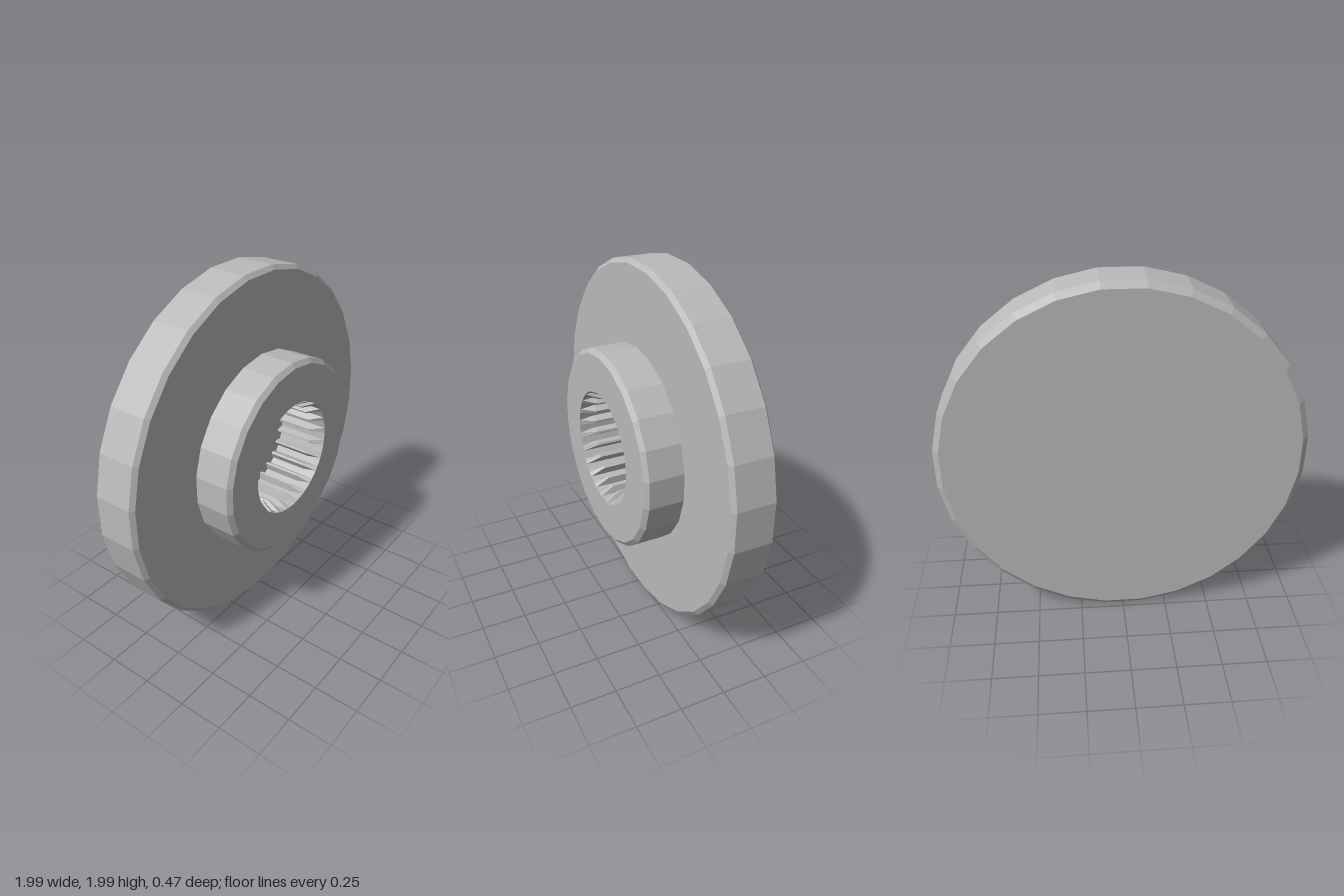
import * as THREE from 'three';

const FRONT = 0.235, STEP = 0.02, BACK = -0.235, FLOOR = -0.06;
const BORE = 0.32, TIP = 0.28, TEETH = 25;

export function createModel() {
  const group = new THREE.Group();
  const grey = new THREE.MeshStandardMaterial({ color: 0xbababa, flatShading: true });
  grey.name = 'plain grey';

  const add = (name, geometry) => {
    const flat = geometry.index ? geometry.toNonIndexed() : geometry;
    flat.computeVertexNormals();
    const mesh = new THREE.Mesh(flat, grey);
    mesh.name = name;
    mesh.position.y = 1;
    group.add(mesh);
  };

  // Profile of [radius, z] pairs turned about the z axis
  const turn = (profile, sides, start = 0) =>
    new THREE.LatheGeometry(profile.map(p => new THREE.Vector2(...p)), sides, start, Math.PI * 2);

  const circle = (r, sides, start = 0) => Array.from({ length: sides }, (_, i) => {
    const a = start + i / sides * Math.PI * 2;
    return new THREE.Vector2(r * Math.sin(a), -r * Math.cos(a));
  });

  // Flat ring facing forward
  const ring = (outer, inner, z) => {
    const shape = new THREE.Shape(outer);
    shape.holes.push(new THREE.Path(inner));
    return new THREE.ShapeGeometry(shape).translate(0, 0, z);
  };

  // Wide disc with bevelled rim
  const discSides = 28, discStart = Math.PI / discSides;
  add('disc', turn([[0, BACK], [0.97, BACK], [1.003, BACK + 0.025],
    [1.003, STEP - 0.02], [0.98, STEP]], discSides, discStart).rotateX(Math.PI / 2));
  add('discFace', ring(circle(0.98, discSides, discStart), circle(0.5, 22), STEP));

  // Raised hub with bevelled front edge
  add('hub', turn([[0.555, STEP], [0.555, FRONT - 0.022], [0.53, FRONT]], 22)
    .rotateX(Math.PI / 2));

  // Splined blind bore: four points per tooth, teeth rising from a round mouth
  const fractions = [0, 0.45, 0.64, 0.81];
  const pitch = Math.PI * 2 / TEETH;
  const angleAt = k => Math.PI + (Math.floor(k / 4) + fractions[k % 4] - 0.725) * pitch;
  const bore = turn([[BORE, FRONT], [BORE, FRONT - 0.08], [BORE, FLOOR], [0, FLOOR]], TEETH * 4);
  const pos = bore.attributes.position;
  for (let i = 0; i < pos.count; i++) {
    const column = Math.floor(i / 4), row = i % 4;
    const toothed = (row === 1 || row === 2) && column % 4 > 1;
    const r = row === 3 ? 0 : toothed ? TIP : BORE;
    const a = angleAt(column);
    pos.setXYZ(i, r * Math.sin(a), pos.getY(i), r * Math.cos(a));
  }
  add('splinedBore', bore.rotateX(Math.PI / 2));

  // Hub front face around the bore mouth
  const mouth = Array.from({ length: TEETH * 4 }, (_, k) =>
    new THREE.Vector2(BORE * Math.sin(angleAt(k)), -BORE * Math.cos(angleAt(k))));
  add('hubFace', ring(circle(0.53, 22), mouth, FRONT));

  return group;
}
